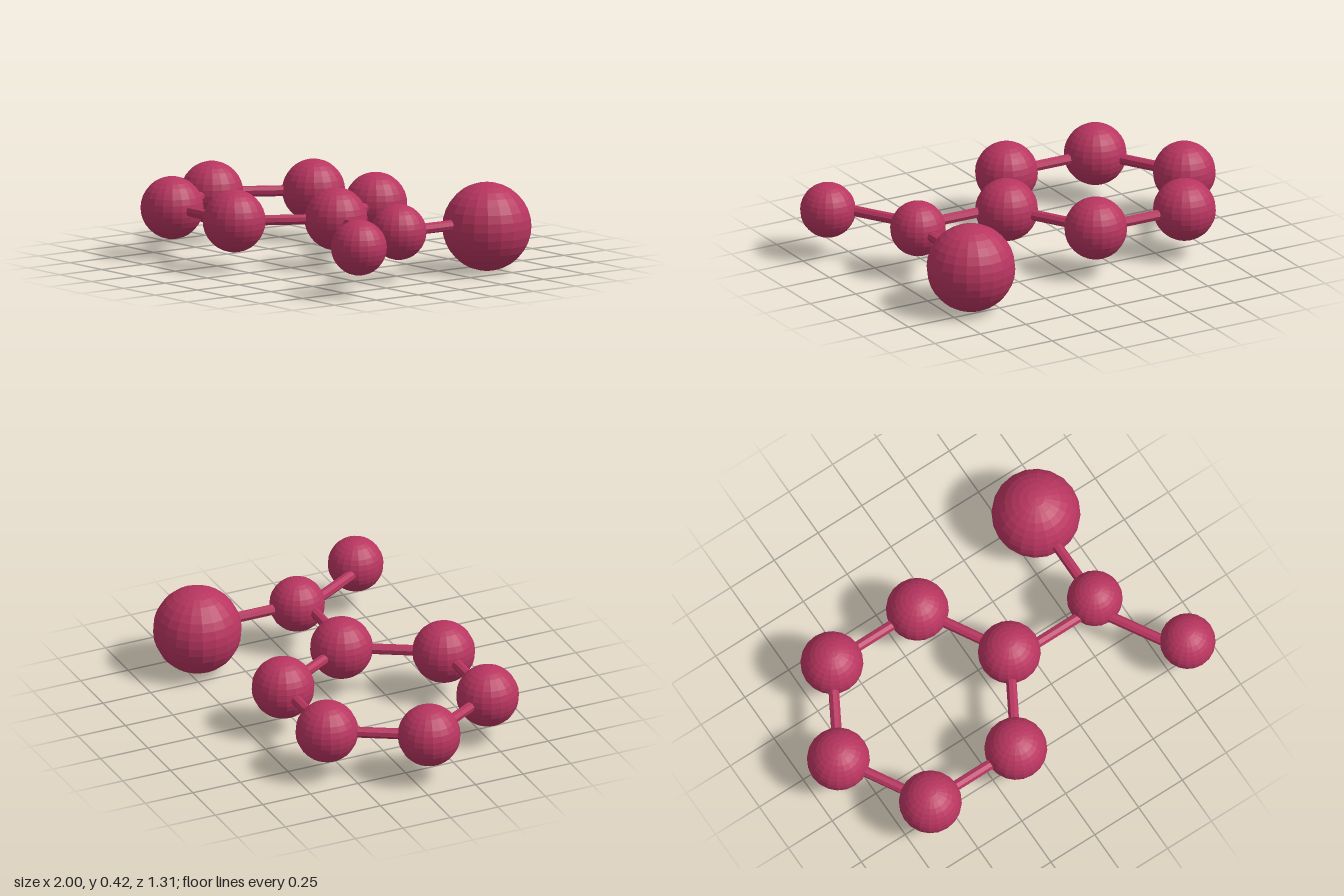
import * as THREE from 'three';

export function createModel() {
  const model = new THREE.Group();
  const berry = new THREE.MeshStandardMaterial({ color: 0xb83560, flatShading: true });
  berry.name = 'berry';
  const Y = 0.24;

  const ball = (name, x, y, z, r) => {
    const mesh = new THREE.Mesh(new THREE.SphereGeometry(r, 20, 16), berry);
    mesh.name = name;
    mesh.position.set(x, y, z);
    model.add(mesh);
  };

  // Slim rod between two points given as [x, z]
  const rod = (name, [ax, az], [bx, bz]) => {
    const a = new THREE.Vector3(ax, Y, az);
    const b = new THREE.Vector3(bx, Y, bz);
    const dir = b.clone().sub(a);
    const mesh = new THREE.Mesh(new THREE.CylinderGeometry(0.026, 0.026, dir.length(), 8), berry);
    mesh.name = name;
    mesh.position.copy(a).add(b).multiplyScalar(0.5);
    mesh.quaternion.setFromUnitVectors(new THREE.Vector3(0, 1, 0), dir.normalize());
    model.add(mesh);
  };

  // Six-membered ring of balls and rods
  const ring = Array.from({ length: 6 }, (_, i) => {
    const t = (i * Math.PI) / 3;
    return [-0.362 + 0.488 * Math.cos(t), 0.077 + 0.488 * Math.sin(t)];
  });
  ring.forEach(([x, z], i) => {
    ball('ringBall', x, Y, z, 0.15);
    rod('ringRod', [x, z], ring[(i + 1) % 6]);
  });

  // Side branch: joint, small end ball and large end ball
  ball('branchJoint', 0.615, Y, 0.075, 0.133);
  ball('smallEndBall', 0.863, Y, 0.5, 0.133);
  ball('largeEndBall', 0.625, 0.217, -0.445, 0.212);

  // Branch rods, slightly off the ball centres
  rod('branchRod', [0.13, 0.112], [0.61, 0.112]);
  rod('largeEndRod', [0.612, 0.07], [0.612, -0.4]);
  rod('smallEndRod', [0.575, 0.11], [0.807, 0.5]);

  return model;
}
